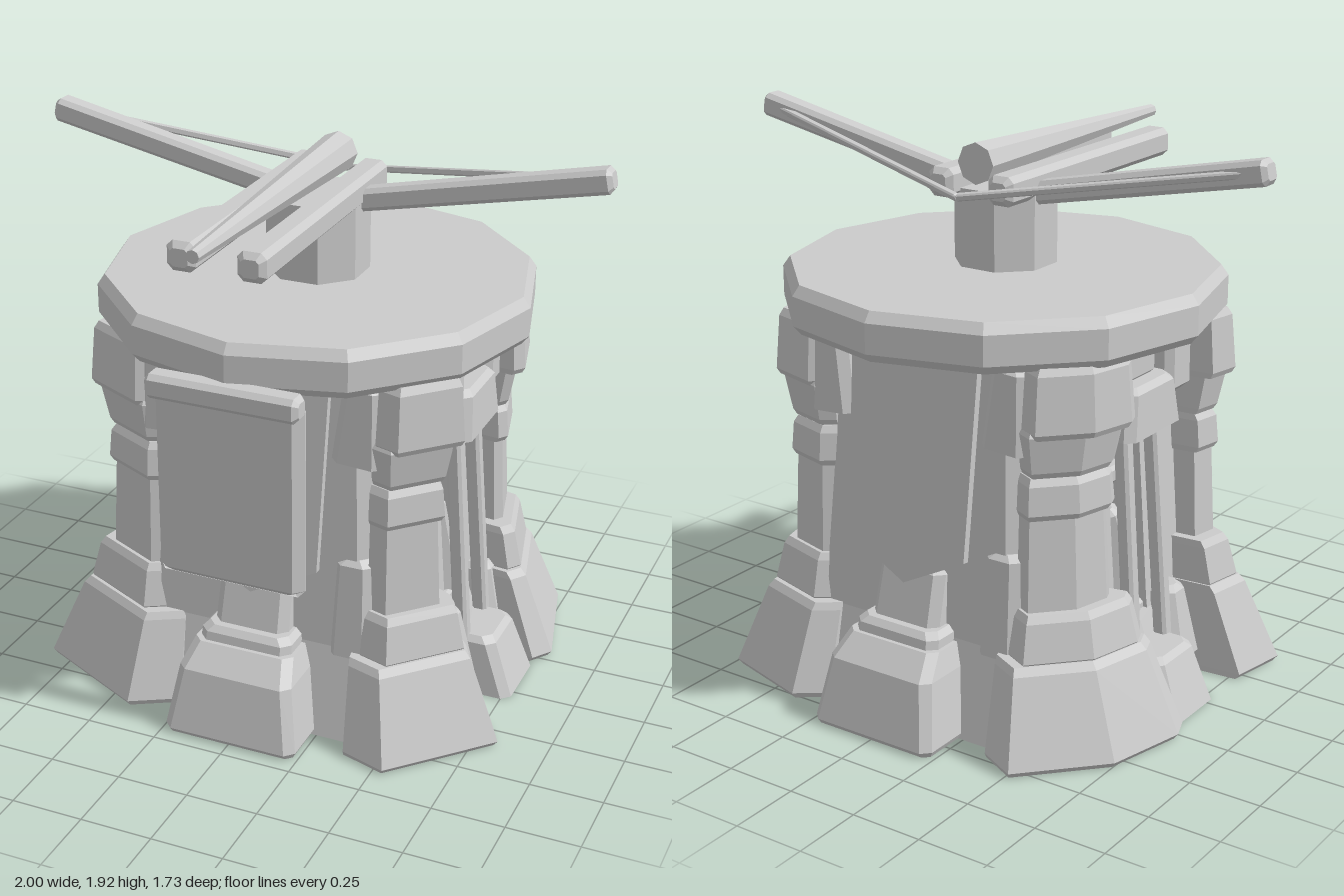
import * as THREE from 'three';

const mat = new THREE.MeshStandardMaterial({ color: 0xcccccc, flatShading: true, side: THREE.DoubleSide });
const CZ = -0.08; // tower axis in z

function add(parent, name, geo) {
  const m = new THREE.Mesh(geo, mat);
  m.name = name;
  parent.add(m);
  return m;
}

// Closed skin over convex rings, each [y, [[x, z], ...]] with corners running from +x towards +z
function skin(rings) {
  const pos = [], idx = [], n = rings[0][1].length;
  for (const [y, pts] of rings) for (const [x, z] of pts) pos.push(x, y, z);
  const last = (rings.length - 1) * n;
  for (let s = 0; s < last; s += n) {
    for (let i = 0; i < n; i++) {
      const j = (i + 1) % n;
      idx.push(s + i, s + n + i, s + n + j, s + i, s + n + j, s + j);
    }
  }
  for (let i = 1; i < n - 1; i++) idx.push(0, i, i + 1, last, last + i + 1, last + i);
  const g = new THREE.BufferGeometry();
  g.setAttribute('position', new THREE.Float32BufferAttribute(pos, 3));
  g.setIndex(idx);
  const flat = g.toNonIndexed();
  flat.computeVertexNormals();
  return flat;
}

// Stack of chamfered rectangles: each section is [y, halfWidth, zInner, zOuter, chamfer]
function loft(sections) {
  return skin(sections.map(([y, w, z0, z1, c]) => [y, [
    [w, z0 + c], [w, z1 - c], [w - c, z1], [c - w, z1], [-w, z1 - c], [-w, z0 + c], [c - w, z0], [w - c, z0],
  ]]));
}

// Tapered stone with a bevelled top edge
function stone(parent, name, y0, y1, w0, w1, out0, out1, inner, c = 0.03, b = 0.02) {
  return add(parent, name, loft([
    [y0, w0, inner, out0, c],
    [y1 - b, w1, inner, out1, c],
    [y1, w1 - b, inner + b, out1 - b, c],
  ]));
}

// Block with bevels at both ends
function block(parent, name, y0, y1, w, zIn, zOut, c = 0.025) {
  const b = 0.02;
  return add(parent, name, loft([
    [y0, w - b, zIn + b, zOut - b, c], [y0 + b, w, zIn, zOut, c],
    [y1 - b, w, zIn, zOut, c], [y1, w - b, zIn + b, zOut - b, c],
  ]));
}

// Square bevelled bar between two points
function bar(parent, name, a, b, t0, t1 = t0) {
  const A = new THREE.Vector3(...a), B = new THREE.Vector3(...b);
  const d = B.clone().sub(A), L = d.length(), e = Math.min(0.02, t0 * 0.4);
  const m = add(parent, name, loft([
    [0, t0 - e, e - t0, t0 - e, e * 0.5], [e, t0, -t0, t0, e],
    [L - e, t1, -t1, t1, e], [L, t1 - e, e - t1, t1 - e, e * 0.5],
  ]));
  m.position.copy(A);
  m.quaternion.setFromUnitVectors(new THREE.Vector3(0, 1, 0), d.normalize());
  return m;
}

// Group on the tower axis whose local +z points outwards at the given angle
function radial(parent, name, deg) {
  const g = new THREE.Group();
  g.name = name;
  g.position.z = CZ;
  g.rotation.y = THREE.MathUtils.degToRad(deg);
  parent.add(g);
  return g;
}

// Ground outlines of the four corner pillars, each an uneven cut stone
const PILLARS = [
  [[0.7, 0.2], [0.78, 0.24], [0.835, 0.34], [0.54, 0.65], [0.38, 0.6], [0.3, 0.2]],
  [[-0.26, 0.53], [-0.42, 0.62], [-0.83, 0.42], [-0.79, 0.21], [-0.3, 0.17]],
  [[-0.8, -0.2], [-0.83, -0.28], [-0.76, -0.56], [-0.52, -0.81], [-0.38, -0.74], [-0.3, -0.3]],
  [[0.3, -0.7], [0.4, -0.775], [0.73, -0.68], [0.83, -0.28], [0.78, -0.21], [0.3, -0.27]],
];

// Stones of a pillar: name, bottom, top, pivot x and z, outline scale at bottom and top
const COURSES = [
  ['pillarFoot', 0, 0.325, 0.3, 0.2, 1, 0.78],
  ['pillarStep', 0.31, 0.48, 0.4, 0.22, 0.67, 0.6],
  ['pillarShaft', 0.46, 0.94, 0.4, 0.27, 0.46, 0.41],
  ['pillarRing', 0.79, 0.93, 0.4, 0.26, 0.48, 0.46],
  ['pillarNeck', 0.93, 1.1, 0.41, 0.25, 0.46, 0.52],
  ['pillarHead', 1.07, 1.3, 0.46, 0.235, 0.55, 0.51],
];

function pillar(parent, outline) {
  const p = new THREE.Group();
  p.name = 'pillar';
  parent.add(p);
  const sx = Math.sign(outline[0][0]), back = outline[0][1] < 0;
  for (const [name, y0, y1, px, pz, s0, s1] of COURSES) {
    const cx = sx * px, cz = back ? 2 * CZ - pz : pz;
    const ring = (y, s) => [y, outline.map(([x, z]) => [cx + (x - cx) * s, cz + (z - cz) * s])];
    add(p, name, skin([ring(y0, s0 - 0.03), ring(y0 + 0.02, s0), ring(y1 - 0.025, s1), ring(y1, s1 - 0.04)]));
  }
}

function clothPanel(parent) {
  const s = new THREE.Shape();
  s.moveTo(-0.25, 0.79); s.lineTo(-0.235, 0.12); s.lineTo(0, 0); s.lineTo(0.235, 0.12); s.lineTo(0.25, 0.79);
  const m = add(parent, 'pointedCloth', new THREE.ExtrudeGeometry(s, { depth: 0.025, bevelEnabled: false }));
  m.position.set(0, 0.49, 0.555);
  m.rotation.x = -0.1;
}

export function createModel() {
  const root = new THREE.Group();
  root.name = 'ballistaTower';

  // Ground slab and inner core
  const core = radial(root, 'core', 0);
  add(core, 'groundSlab', new THREE.CylinderGeometry(0.56, 0.66, 0.28, 12)).position.y = 0.14;
  add(core, 'innerCore', loft([[0, 0.36, -0.2, 0.2, 0.02], [1.3, 0.32, -0.2, 0.2, 0.02]]));

  PILLARS.forEach(outline => pillar(root, outline));

  // Front and back walls with footing, steps and hanging cloth
  for (const deg of [0, 180]) {
    const w = radial(root, deg ? 'backWall' : 'frontWall', deg);
    const ring = (y, x, z, c) => [y, [[x, 0.1], [x, z - c], [x - c, z], [c - x, z], [-x, z - c], [-x, 0.1]]];
    add(w, 'wall', skin([ring(0, 0.56, 0.6, 0.18), ring(0.32, 0.52, 0.53, 0.15), ring(1.3, 0.45, 0.45, 0.13)]));
    add(w, 'wallFoot', loft([
      [0, 0.23, 0.3, 0.77, 0.02], [0.02, 0.24, 0.3, 0.785, 0.03],
      [0.235, 0.205, 0.3, 0.735, 0.03], [0.31, 0.18, 0.3, 0.66, 0.03],
    ]));
    stone(w, 'lowerStep', 0.24, 0.36, 0.17, 0.165, 0.66, 0.64, 0.3);
    stone(w, 'upperStep', 0.3, 0.55, 0.135, 0.13, 0.61, 0.55, 0.3);
    clothPanel(w);
    for (const s of [-1, 1]) {
      const b = stone(w, 'wallStone', 1.0, 1.28, 0.09, 0.07, 0.52, 0.51, 0.35);
      b.position.x = 0.285 * s;
      b.rotation.z = -0.06 * s;
    }
    // Leaning stone beside the right-hand pillar
    const lean = stone(w, 'leaningStone', 0.3, 0.65, 0.08, 0.07, 0.55, 0.52, 0.35);
    lean.position.x = 0.34;
  }

  // Side windows: footing, posts, planks inside and lintel
  for (const deg of [90, 270]) {
    const w = radial(root, 'sideWindow', deg);
    stone(w, 'windowFoot', 0, 0.21, 0.14, 0.12, 0.78, 0.71, 0.3);
    for (const s of [-1, 1]) {
      bar(w, 'windowPost', [0.1 * s, 0.18, 0.59], [0.09 * s, 1.0, 0.53], 0.026);
      const c = block(w, 'upperStone', 1.05, 1.28, 0.075, 0.38, 0.58);
      c.position.x = 0.2 * s;
      const r = stone(w, 'lowRubble', 0.1, 0.35, 0.08, 0.06, 0.65, 0.6, 0.35);
      r.position.x = 0.19 * s;
    }
    bar(w, 'slantedPlank', [-0.05, 0.68, 0.43], [0.05, 0.26, 0.47], 0.05);
    bar(w, 'crossPlank', [-0.11, 0.79, 0.43], [0.11, 0.79, 0.43], 0.03);
    bar(w, 'crossPlank', [-0.11, 0.28, 0.48], [0.11, 0.28, 0.48], 0.03);
    stone(w, 'lintel', 0.97, 1.14, 0.165, 0.14, 0.61, 0.6, 0.35);
    block(w, 'lintelCap', 1.13, 1.29, 0.11, 0.35, 0.54);
  }

  // Platform
  const R = 0.748;
  const profile = [[0, 1.29], [R - 0.025, 1.29], [R, 1.32], [R, 1.42], [R - 0.025, 1.455], [0, 1.455]];
  add(root, 'platform', new THREE.LatheGeometry(profile.map(p => new THREE.Vector2(...p)), 12)).position.z = CZ;

  // Hanging board with its rod
  const sign = new THREE.Group();
  sign.name = 'hangingBoard';
  root.add(sign);
  bar(sign, 'boardRod', [-0.265, 1.285, 0.67], [0.265, 1.285, 0.67], 0.042);
  block(sign, 'board', 0.605, 1.28, 0.26, 0.595, 0.665, 0.032);

  // Crossbow mount and bolt
  const bow = new THREE.Group();
  bow.name = 'crossbow';
  root.add(bow);
  const post = add(bow, 'mountPost', new THREE.CylinderGeometry(0.175, 0.175, 0.28, 8));
  post.position.set(0, 1.58, -0.07);
  post.rotation.y = Math.PI / 8;
  const bolt = add(bow, 'bolt', new THREE.CylinderGeometry(0.022, 0.07, 1.1, 8));
  bolt.position.set(0, 1.81, 0.31);
  bolt.rotation.x = Math.PI / 2;

  // Mirrored rails, arms and string halves
  for (const s of [-1, 1]) {
    bar(bow, 'rail', [0.118 * s, 1.74, -0.285], [0.118 * s, 1.74, 0.72], 0.049);
    bar(bow, 'bowArm', [0.08 * s, 1.695, -0.09], [0.995 * s, 1.885, -0.1], 0.038, 0.041);
    bar(bow, 'bowString', [0.94 * s, 1.875, -0.12], [0, 1.72, -0.345], 0.012);
  }
  return root;
}
